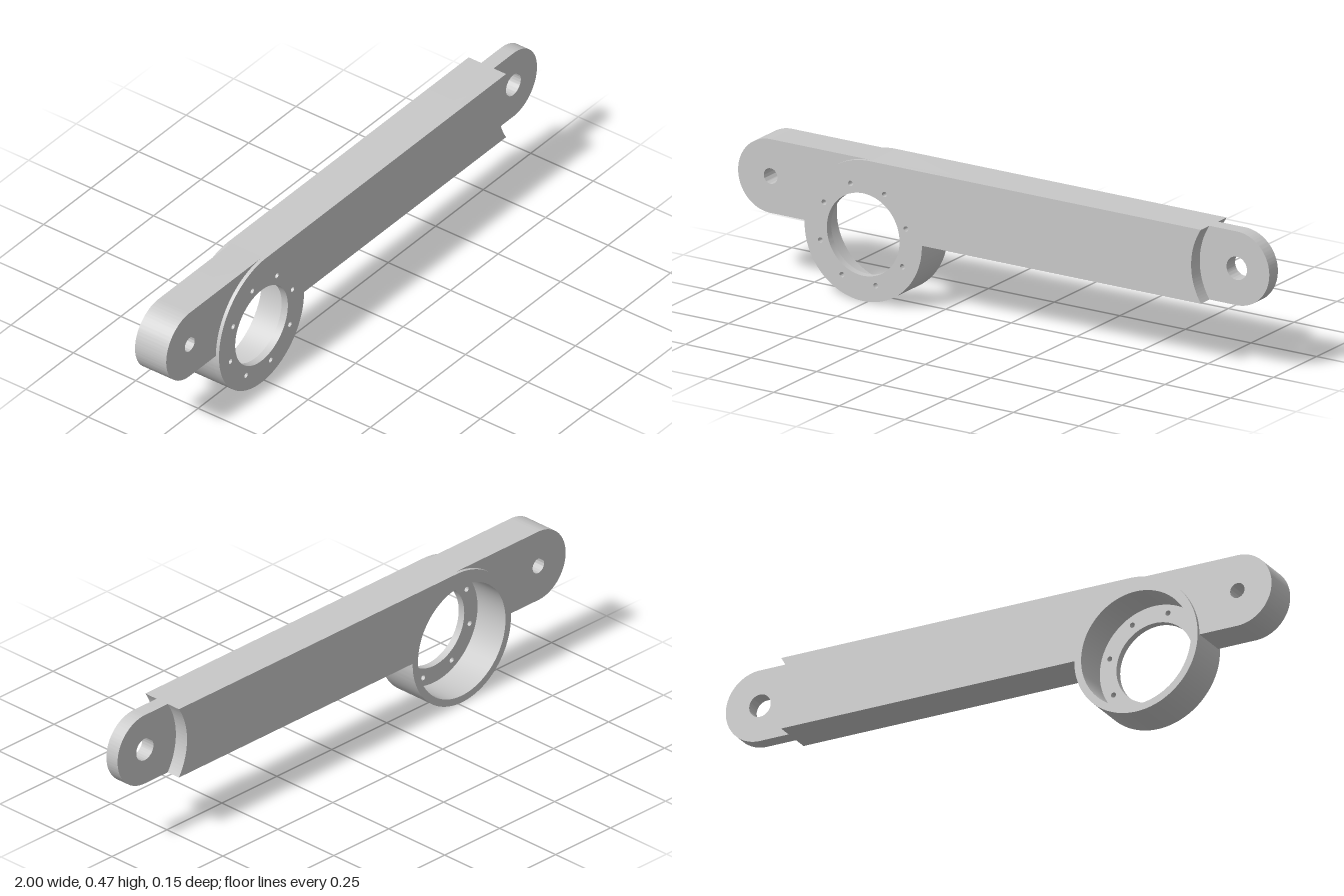
import * as THREE from 'three';
import { toCreasedNormals } from 'three/addons/utils/BufferGeometryUtils.js';

const BOTTOM = 0.2265, TOP = 0.4745, MID = 0.3505, END_R = 0.124, END_X = 0.876;
const RING = { x: -0.515, y: 0.2235, r: 0.2235, bore: 0.199, opening: 0.1385, wall: 0.211 };
const BLEND_R = 0.2475;
const BLEND_X = RING.x - RING.r + BLEND_R;
const SHOULDER = { x: 0.961, r: 0.226 };
const SHOULDER_ANGLE = Math.asin(END_R / SHOULDER.r);
const SHOULDER_EDGE = SHOULDER.x - SHOULDER.r * Math.cos(SHOULDER_ANGLE);

function addHole(shape, x, y, r) {
  const hole = new THREE.Path();
  hole.absarc(x, y, r, 0, Math.PI * 2, true);
  shape.holes.push(hole);
}

// Beam outline merged with the housing ring, counter-clockwise, ending in a concave shoulder
function bodyShape() {
  const s = new THREE.Shape();
  s.moveTo(SHOULDER_EDGE, TOP);
  s.lineTo(BLEND_X, TOP);
  s.absarc(BLEND_X, TOP - BLEND_R, BLEND_R, Math.PI / 2, Math.PI, false);
  s.absarc(RING.x, RING.y, RING.r, Math.PI, Math.PI * 2, false);
  s.lineTo(RING.x + RING.r, BOTTOM);
  s.lineTo(SHOULDER_EDGE, BOTTOM);
  s.absarc(SHOULDER.x, MID, SHOULDER.r, Math.PI + SHOULDER_ANGLE, Math.PI - SHOULDER_ANGLE, true);
  return s;
}

export function createModel() {
  const group = new THREE.Group();
  const grey = new THREE.MeshStandardMaterial({ color: 0xc8c8c8 });
  grey.name = 'light grey metal';

  const addPlate = (name, shape, z0, z1) => {
    const geo = new THREE.ExtrudeGeometry(shape, { depth: z1 - z0, bevelEnabled: false, curveSegments: 48 });
    geo.translate(0, 0, z0);
    const mesh = new THREE.Mesh(toCreasedNormals(geo, 0.5), grey);
    mesh.name = name;
    group.add(mesh);
  };

  // Main beam with the wide bore, open at the back
  const body = bodyShape();
  addHole(body, RING.x, RING.y, RING.bore);
  addPlate('beamAndHousing', body, -0.075, 0.05);

  // Front layer: narrower opening surrounded by eight bolt holes
  const face = bodyShape();
  addHole(face, RING.x, RING.y, RING.opening);
  for (let i = 0; i < 8; i++) {
    const a = THREE.MathUtils.degToRad(16.5 + 45 * i);
    addHole(face, RING.x + 0.17 * Math.cos(a), RING.y + 0.17 * Math.sin(a), 0.009);
  }
  addPlate('frontFlange', face, 0.05, 0.075);

  // Rounded lug beside the housing, ending within the housing wall
  const lug = new THREE.Shape();
  lug.moveTo(BLEND_X, TOP);
  lug.lineTo(-END_X, TOP);
  lug.absarc(-END_X, MID, END_R, Math.PI / 2, Math.PI * 1.5, false);
  lug.lineTo(RING.x - RING.wall, BOTTOM);
  lug.absarc(RING.x, RING.y, RING.wall, Math.PI - 0.02, Math.PI / 2, true);
  addHole(lug, -END_X, MID, 0.026);
  addPlate('roundedLug', lug, -0.0625, 0.0625);

  // Thin tongue fitted to the concave shoulder
  const tongue = new THREE.Shape();
  tongue.moveTo(SHOULDER_EDGE, BOTTOM);
  tongue.lineTo(END_X, BOTTOM);
  tongue.absarc(END_X, MID, END_R, -Math.PI / 2, Math.PI / 2, false);
  tongue.lineTo(SHOULDER_EDGE, TOP);
  tongue.absarc(SHOULDER.x, MID, SHOULDER.r, Math.PI - SHOULDER_ANGLE, Math.PI + SHOULDER_ANGLE, false);
  addHole(tongue, END_X, MID, 0.039);
  addPlate('thinTongue', tongue, -0.025, 0.025);

  return group;
}
